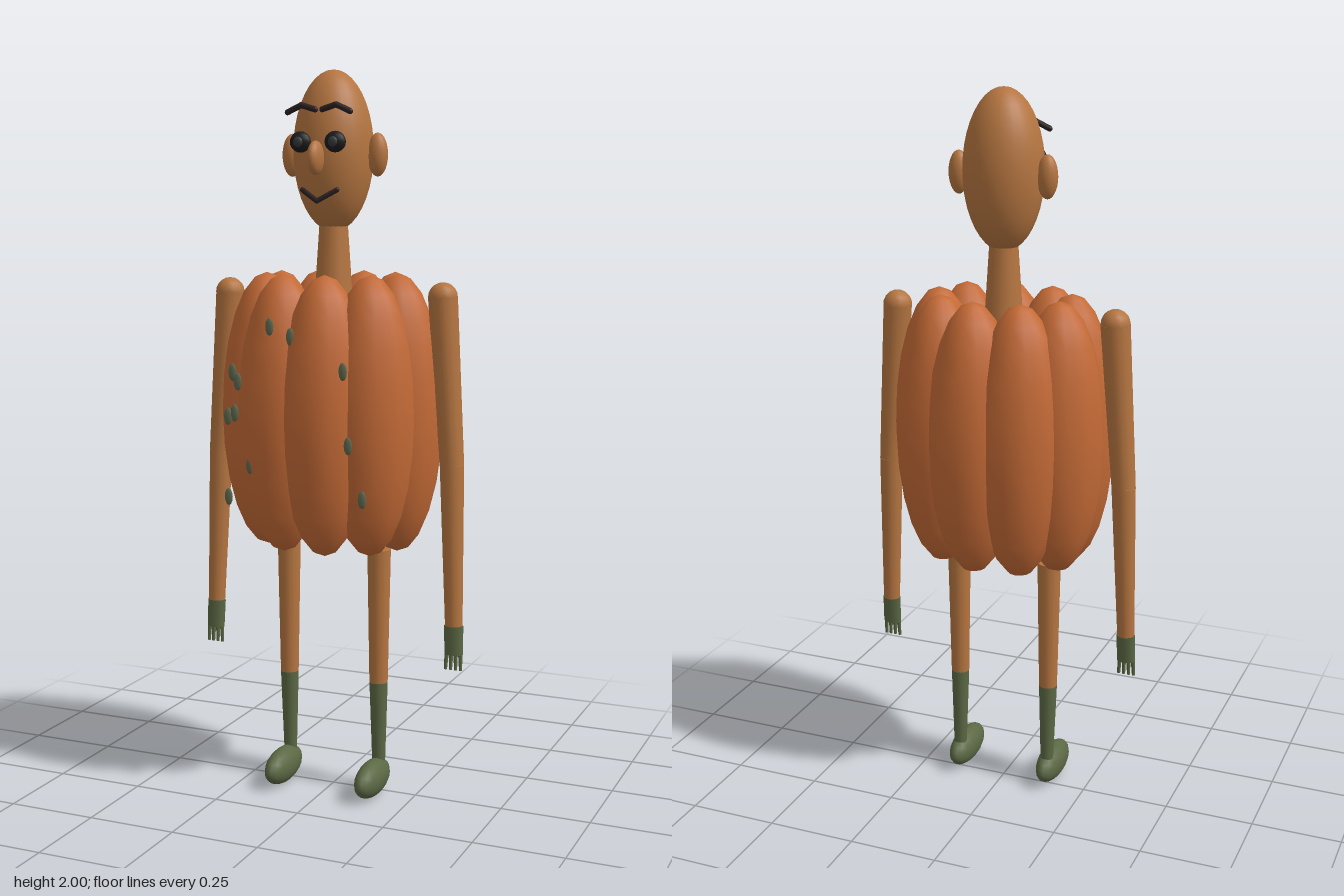
import * as THREE from 'three';

const V = (x, y, z) => new THREE.Vector3(x, y, z);

export function createModel() {
  const mat = (name, color) => {
    const m = new THREE.MeshStandardMaterial({ color });
    m.name = name;
    return m;
  };
  const pumpkin = mat('pumpkin orange', 0xc46a36);
  const skin = mat('tan skin', 0xb57540);
  const moss = mat('moss green', 0x5b6844);
  const seedMat = mat('seed grey green', 0x5f6a50);
  const black = mat('eye black', 0x1c1c1e);
  const iris = mat('iris grey', 0x34383a);
  const hair = mat('dark brown', 0x2b2020);

  const root = new THREE.Group();
  root.name = 'pumpkinFigure';

  const add = (name, geo, material, parent = root) => {
    const m = new THREE.Mesh(geo, material);
    m.name = name;
    parent.add(m);
    return m;
  };
  const ellipsoid = (name, c, r, material, parent, ws = 20, hs = 14) => {
    const m = add(name, new THREE.SphereGeometry(1, ws, hs), material, parent);
    m.position.set(...c);
    m.scale.set(...r);
    return m;
  };
  // Tapered limb running from point a down to point b
  const limb = (name, a, b, ra, rb, material, parent, sides = 14) => {
    const dir = a.clone().sub(b);
    const m = add(name, new THREE.CylinderGeometry(ra, rb, dir.length(), sides), material, parent);
    m.position.copy(a).add(b).multiplyScalar(0.5);
    m.quaternion.setFromUnitVectors(V(0, 1, 0), dir.normalize());
    return m;
  };
  // Round bar through straight segments, with rounded joints
  const bar = (name, pts, r, material, parent) => {
    const g = new THREE.Group();
    g.name = name;
    parent.add(g);
    pts.forEach((p, i) => {
      ellipsoid(name + 'Joint', p.toArray(), [r, r, r], material, g, 8, 6);
      if (i) limb(name + 'Bar', pts[i - 1], p, r, r, material, g, 8);
    });
  };

  // Ribbed body: nine lobes on an oval ring
  const body = new THREE.Group();
  body.name = 'body';
  root.add(body);
  for (let i = 0; i < 9; i++) {
    const a = (i / 9) * Math.PI * 2;
    ellipsoid('bodyLobe', [0.19 * Math.cos(a), 1.08, 0.14 * Math.sin(a)],
      [0.125, 0.38, 0.125], pumpkin, body, 12, 12);
  }

  // Seeds scattered over the chest
  const seeds = [[-0.09, 1.325], [-0.03, 1.3], [-0.2, 1.2], [-0.185, 1.175], [-0.215, 1.08],
    [-0.195, 1.09], [-0.15, 0.95], [-0.215, 0.86], [0.12, 1.215], [0.135, 1.02], [0.175, 0.88]];
  for (const [x, y] of seeds) ellipsoid('seed', [x, y, 0.22], [0.012, 0.024, 0.005], seedMat, body, 8, 6);

  // Head and neck
  const head = new THREE.Group();
  head.name = 'head';
  root.add(head);
  limb('neck', V(0, 1.6, 0), V(0, 1.3, 0), 0.038, 0.058, skin, head, 16);
  ellipsoid('skull', [0, 1.785, 0], [0.109, 0.215, 0.108], skin, head, 28, 20);
  ellipsoid('nose', [0, 1.765, 0.12], [0.02, 0.045, 0.038], skin, head);
  for (const s of [1, -1]) {
    ellipsoid('ear', [s * 0.125, 1.775, -0.007], [0.028, 0.058, 0.026], skin, head);
    ellipsoid('eye', [s * 0.05, 1.807, 0.106], [0.03, 0.028, 0.02], black, head, 14, 10);
    ellipsoid('iris', [s * 0.05, 1.807, 0.122], [0.014, 0.014, 0.008], iris, head, 12, 8);
    bar('eyebrow', [V(s * 0.09, 1.885, 0.1), V(s * 0.05, 1.903, 0.1), V(s * 0.01, 1.891, 0.1)],
      0.008, hair, head);
  }
  bar('mouth', [V(-0.05, 1.682, 0.094), V(0, 1.653, 0.113), V(0.05, 1.682, 0.094)], 0.007, hair, head);

  // Arms and legs, one of each per side
  for (const s of [1, -1]) {
    const arm = new THREE.Group();
    arm.name = s > 0 ? 'leftArm' : 'rightArm';
    root.add(arm);
    const elbow = V(s * 0.348, 0.95, 0.004), wrist = V(s * 0.362, 0.51, 0.014);
    ellipsoid('shoulder', [s * 0.316, 1.4, 0], [0.04, 0.04, 0.04], skin, arm, 14, 10);
    limb('upperArm', V(s * 0.316, 1.4, 0), elbow, 0.04, 0.033, skin, arm);
    limb('forearm', elbow, wrist, 0.033, 0.024, skin, arm);
    const palm = limb('palm', wrist, V(s * 0.364, 0.43, 0.018), 0.027, 0.026, moss, arm);
    palm.scale.z = 0.65;
    for (let i = 0; i < 4; i++) {
      const x = 0.345 + i * 0.0125;
      limb('finger', V(s * x, 0.45, 0.018), V(s * (x + (i - 1.5) * 0.002), 0.387, 0.021),
        0.007, 0.0045, moss, arm, 8);
    }

    const leg = new THREE.Group();
    leg.name = s > 0 ? 'leftLeg' : 'rightLeg';
    root.add(leg);
    const x = s * 0.137;
    limb('thigh', V(x, 0.7, 0), V(x, 0.32, 0), 0.033, 0.026, skin, leg);
    limb('sock', V(x, 0.32, 0), V(x, 0.07, -0.004), 0.026, 0.018, moss, leg);
    ellipsoid('foot', [x, 0.053, 0.045], [0.037, 0.05, 0.1], moss, leg, 18, 12);
  }
  return root;
}
